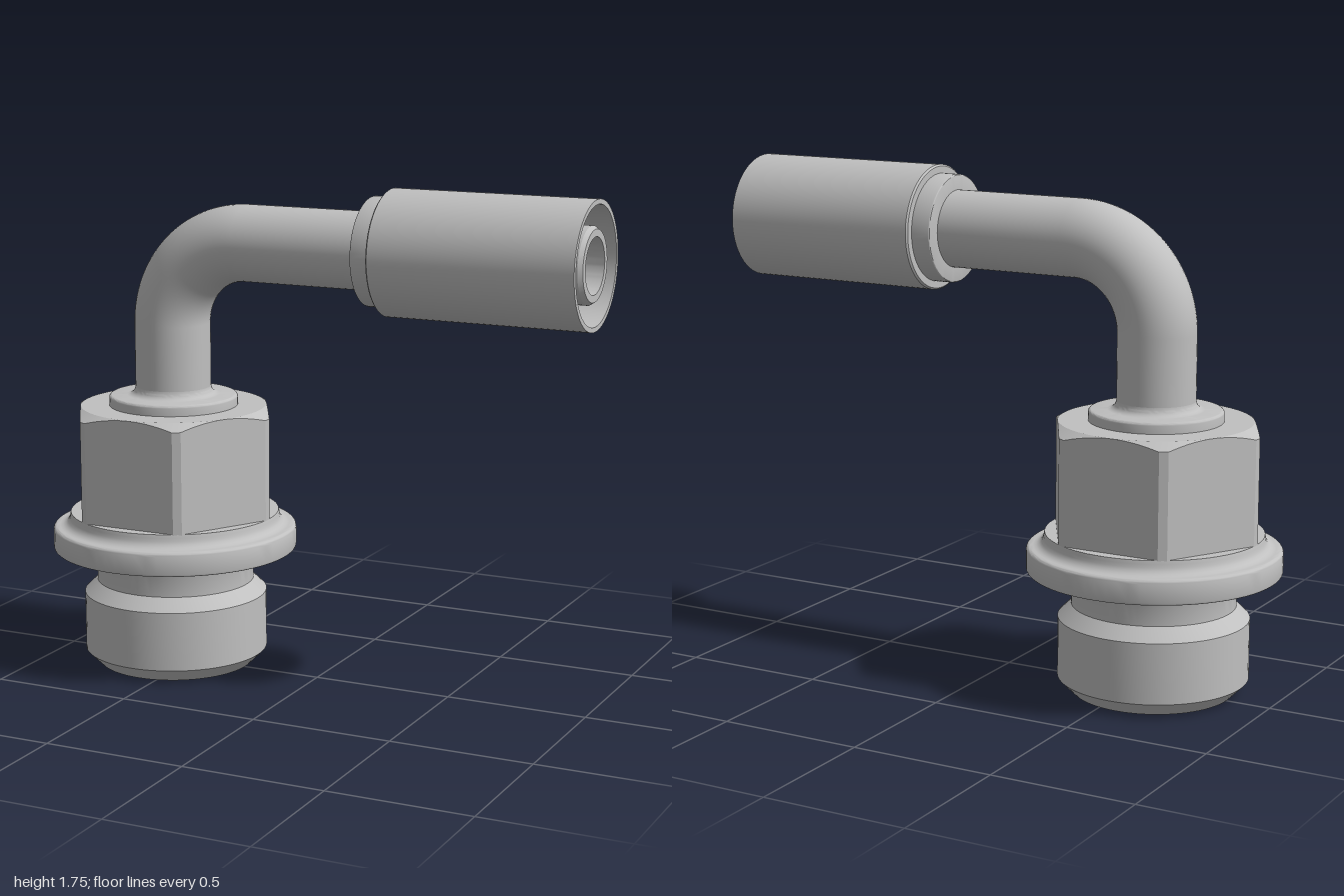
import * as THREE from 'three';
import { toCreasedNormals } from 'three/addons/utils/BufferGeometryUtils.js';

const AXIS_X = -0.565;   // axis of the threaded end
const PIPE_Y = 1.532;    // axis of the hose end
const PIPE_R = 0.134;
const BEND_R = 0.297;

// Points of a quarter-arc style fillet around (cx, cy), angles in degrees
function arc(cx, cy, r, from, to, steps = 5) {
  return Array.from({ length: steps + 1 }, (_, i) => {
    const a = THREE.MathUtils.degToRad(from + (to - from) * i / steps);
    return [cx + r * Math.cos(a), cy + r * Math.sin(a)];
  });
}

// Turned part: smooth around, sharp at profile corners
function turned(profile) {
  const points = profile.map(([r, y]) => new THREE.Vector2(Math.max(r, 0), y));
  return toCreasedNormals(new THREE.LatheGeometry(points, 72), 0.5);
}

// Hexagon prism with trimmed corners and a conical chamfer on top
function hexNut(flat, corner, chamferR, y0, y1) {
  const half = Math.acos(flat / corner), steps = 14, rim = [];
  for (let side = 0; side < 6; side++) {
    for (let i = 0; i <= steps; i++) {
      const d = -half + 2 * half * i / steps;
      const a = Math.PI / 6 + side * Math.PI / 3 + d;
      rim.push({ a, r: flat / Math.cos(d) });
    }
  }
  const at = (a, r, y) => [r * Math.cos(a), y, -r * Math.sin(a)];
  const pos = [];
  const quad = (a, b, c, d) => pos.push(...a, ...b, ...c, ...a, ...c, ...d);
  rim.forEach((p, i) => {
    const q = rim[(i + 1) % rim.length];
    const edge = (v) => at(v.a, v.r, y1 - (v.r - chamferR) * 0.577);
    const top = (v) => at(v.a, chamferR, y1);
    quad(at(p.a, p.r, y0), at(q.a, q.r, y0), edge(q), edge(p));
    quad(edge(p), edge(q), top(q), top(p));
    pos.push(...top(p), ...top(q), 0, y1, 0);
    pos.push(...at(q.a, q.r, y0), ...at(p.a, p.r, y0), 0, y0, 0);
  });
  const geo = new THREE.BufferGeometry();
  geo.setAttribute('position', new THREE.Float32BufferAttribute(pos, 3));
  geo.computeVertexNormals();
  return toCreasedNormals(geo, 0.3);
}

export function createModel() {
  const model = new THREE.Group();
  model.name = 'elbowHoseFitting';
  const steel = new THREE.MeshStandardMaterial({ color: 0xc0c0c0 });
  steel.name = 'steel grey';

  const add = (name, geometry, x = 0, y = 0, rotZ = 0) => {
    const mesh = new THREE.Mesh(geometry, steel);
    mesh.name = name;
    mesh.position.set(x, y, 0);
    mesh.rotation.z = rotZ;
    model.add(mesh);
  };

  // Threaded stud with bore, undercut and flange
  add('studAndFlange', turned([
    [0, 0.6], [0.205, 0.12], [0.205, 0],
    [0.277, 0], [0.327, 0.05], [0.327, 0.26], [0.281, 0.305],
    ...arc(0.301, 0.4, 0.02, 180, 90),
    ...arc(0.425, 0.43, 0.01, -90, 0, 3),
    ...arc(0.42, 0.492, 0.015, 0, 90),
    ...arc(0.411, 0.543, 0.036, 270, 180),
    [0.372, 0.555], [0, 0.555],
  ]), AXIS_X);

  add('hexNut', hexNut(0.33, 0.3725, 0.3285, 0.54, 0.94), AXIS_X);

  // Collar blending into the pipe
  add('pipeCollar', turned([
    [0.228, 0.935],
    ...arc(0.218, 0.968, 0.01, 0, 90, 4),
    ...arc(PIPE_R + 0.03, 1.008, 0.03, 270, 180),
  ]), AXIS_X);

  // Bent pipe: riser, quarter bend, straight run
  const bendX = AXIS_X + BEND_R, bendY = PIPE_Y - BEND_R;
  const straight = (length) => new THREE.CylinderGeometry(PIPE_R, PIPE_R, length, 48, 1, true);
  add('pipeRiser', straight(bendY - 0.95), AXIS_X, (bendY + 0.95) / 2);
  add('pipeBend', new THREE.TorusGeometry(BEND_R, PIPE_R, 48, 32, Math.PI / 2), bendX, bendY, Math.PI / 2);
  add('pipeRun', straight(0.23 - bendX), (0.23 + bendX) / 2, PIPE_Y, -Math.PI / 2);

  // Crimp sleeve, open at the hose end; profile runs along +x
  add('crimpSleeve', turned([
    [0.125, 0.205],
    ...arc(0.181, 0.211, 0.006, -90, 0, 3),
    [0.187, 0.275], [0.211, 0.275], [0.217, 0.281],
    [0.217, 1], [0.2, 1], [0.2, 0.36], [0.12, 0.36],
  ]), 0, PIPE_Y, -Math.PI / 2);

  // Inner hose nipple with tapered bore
  add('hoseNipple', turned([
    [0.13, 0.35], [0.13, 0.98], [0.12, 0.995],
    [0.095, 0.995], [0.095, 0.8], [0, 0.55],
  ]), 0, PIPE_Y, -Math.PI / 2);

  return model;
}
